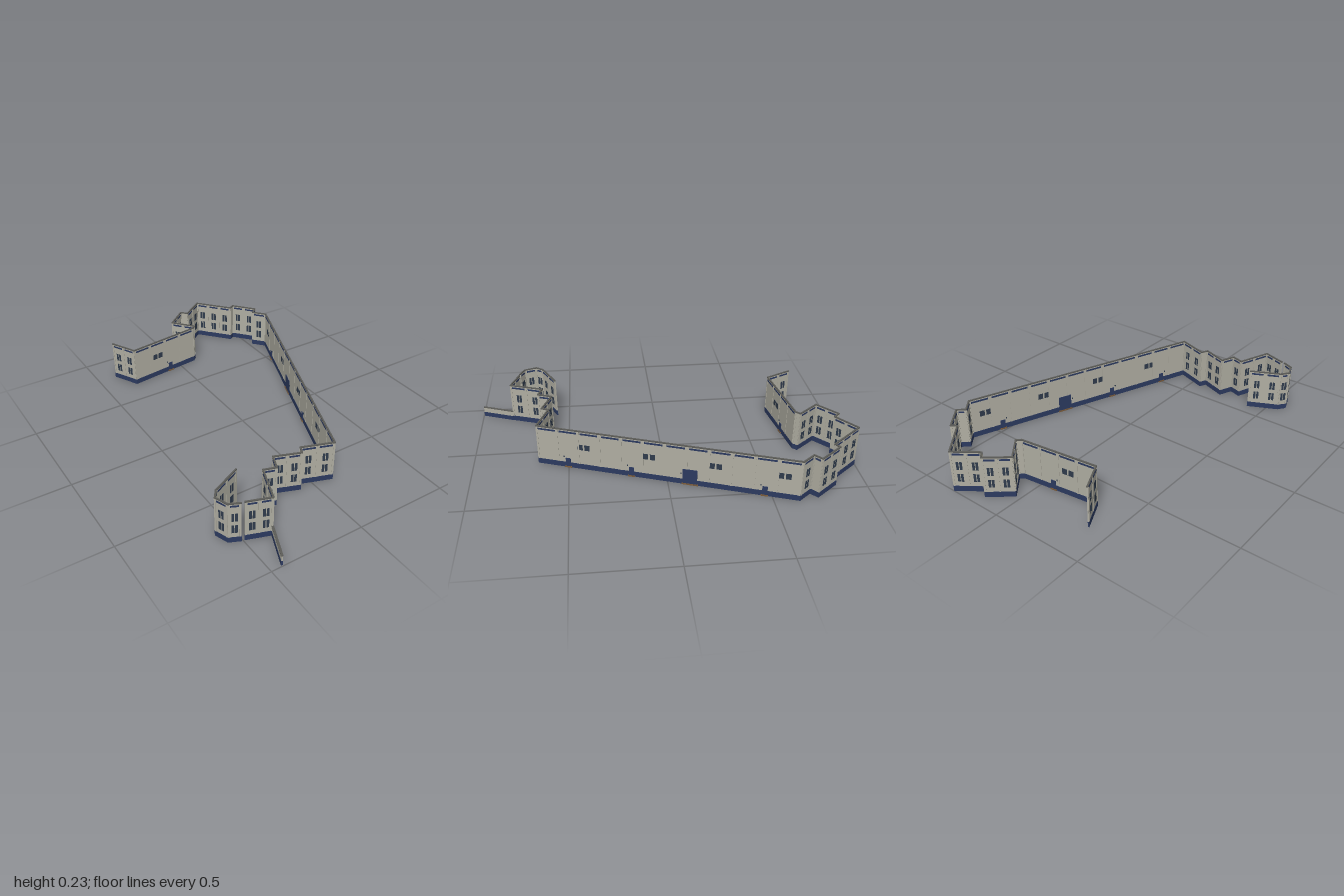
import * as THREE from 'three';

const mat = (color) => new THREE.MeshStandardMaterial({ color, flatShading: true });
const WALL = mat(0xb0aea2), NAVY = mat(0x2c3a60), GLASS = mat(0x2f3b4c), CAP = mat(0x5c5c58), STEP = mat(0x7a5a38);
const T = 0.005, TOP = 0.228, BASE = 0.03;

function box(parent, name, material, x, y0, y1, width, depth) {
  const m = new THREE.Mesh(new THREE.BoxGeometry(width, y1 - y0, depth), material);
  m.position.set(x, (y0 + y1) / 2, 0);
  m.name = name;
  parent.add(m);
}

// group whose local x runs along the segment from a to b
function run(parent, name, a, b) {
  const g = new THREE.Group();
  const dx = b[0] - a[0], dz = b[1] - a[1];
  g.name = name;
  g.position.set(a[0], 0, a[1]);
  g.rotation.y = -Math.atan2(dz, dx);
  parent.add(g);
  return { g, len: Math.hypot(dx, dz) };
}

// wall panel with plinth, coping, pilasters and a frieze strip in every bay
function facade(parent, name, a, b, bays) {
  const { g, len } = run(parent, name, a, b);
  const bay = len / bays, mid = len / 2;
  box(g, 'wall', WALL, mid, BASE, TOP - 0.006, len + T * 0.5, T);
  box(g, 'plinth', NAVY, mid, 0, BASE, len + T, T + 0.002);
  box(g, 'coping', CAP, mid, TOP - 0.006, TOP, len + T, T + 0.003);
  for (let i = 0; i <= bays; i++) {
    const x = Math.min(Math.max(i * bay, 0.004), len - 0.004);
    box(g, 'pilaster', WALL, x, BASE, TOP - 0.006, 0.007, T + 0.004);
  }
  if (bay > 0.045) for (let i = 0; i < bays; i++) {
    box(g, 'frieze', NAVY, (i + 0.5) * bay, 0.206, 0.216, bay - 0.02, T + 0.002);
  }
  return { g, len, bay };
}

// twin-pane window
function windowPair(g, x, y0, y1, width) {
  const pane = width * 0.43;
  for (const s of [-1, 1]) {
    box(g, 'windowPane', GLASS, x + s * (width - pane) / 2, y0, y1, pane, T + 0.002);
  }
}

function door(g, x, width, height) {
  box(g, 'door', NAVY, x, 0.005, height, width, T + 0.006);
  box(g, 'doorStep', STEP, x, 0, 0.007, width + 0.01, T + 0.012);
  box(g, 'doorLamp', GLASS, x - width / 2 - 0.008, 0.06, 0.067, 0.005, T + 0.008);
}

// two-storey face with one window column per bay
function windowedFace(parent, a, b, bays) {
  const { g, bay } = facade(parent, 'windowedFace', a, b, bays);
  for (let i = 0; i < bays; i++) {
    const x = (i + 0.5) * bay;
    windowPair(g, x, 0.055, 0.1, 0.029);
    windowPair(g, x, 0.123, 0.168, 0.029);
  }
}

export function createModel() {
  const root = new THREE.Group();
  root.name = 'buildingFacade';

  // each entry: x, z, window columns on the face to the next point (0 = plain return)
  const northPath = [
    [-0.39, -0.8, 2], [-0.32, -0.66, -1], [0.1, -0.715, 0], [0.12, -0.735, 2],
    [0.03, -0.845, 2], [0.14, -0.937, 0], [0.17, -0.905, 2], [0.293, -0.995, 3],
    [0.438, -0.823, 0], [0.467, -0.841, 2], [0.562, -0.725, 0], [0.525, -0.693, 1],
    [0.58, -0.627, -1],
  ];
  const southPath = [
    [0.103, 0.656, 2], [-0.06, 0.598, 0], [-0.077, 0.635, 2], [-0.21, 0.585, 0],
    [-0.24, 0.661, 1], [-0.303, 0.64, 2], [-0.37, 0.82, 2], [-0.49, 0.778, -1],
    [-0.508, 0.775, 1], [-0.562, 0.75, 1], [-0.586, 0.683, 1], [-0.557, 0.644, 2],
    [-0.404, 0.57, -1],
  ];
  for (const path of [northPath, southPath]) {
    for (let i = 0; i < path.length - 1; i++) {
      const columns = path[i][2];
      if (columns > 0) windowedFace(root, path[i], path[i + 1], columns);
      else if (columns === 0) facade(root, 'returnWall', path[i], path[i + 1], 1);
    }
  }

  // long side wall, measured by z along its length
  const a = southPath[0], b = northPath[12];
  const long = facade(root, 'longWall', a, b, 12);
  const along = (z) => (a[1] - z) / (a[1] - b[1]) * long.len;
  for (const z of [0.417, 0.09, -0.23, -0.55]) windowPair(long.g, along(z), 0.115, 0.147, 0.064);
  for (const z of [0.5, 0.177, -0.465]) door(long.g, along(z), 0.027, 0.055);
  door(long.g, along(-0.11), 0.075, 0.09);

  // shorter plain wall on the far wing
  const rear = facade(root, 'rearWall', northPath[1], northPath[2], 4);
  windowPair(rear.g, 0.158, 0.115, 0.147, 0.064);
  door(rear.g, 0.245, 0.027, 0.055);

  // low boundary wall
  const low = run(root, 'lowWall', [-0.37, 0.82], [-0.441, 0.994]);
  box(low.g, 'lowWallPlinth', NAVY, low.len / 2, 0, 0.026, low.len, 0.01);
  box(low.g, 'lowWallBody', WALL, low.len / 2, 0.026, 0.054, low.len, 0.008);
  box(low.g, 'lowWallCoping', CAP, low.len / 2, 0.054, 0.058, low.len, 0.011);

  return root;
}
